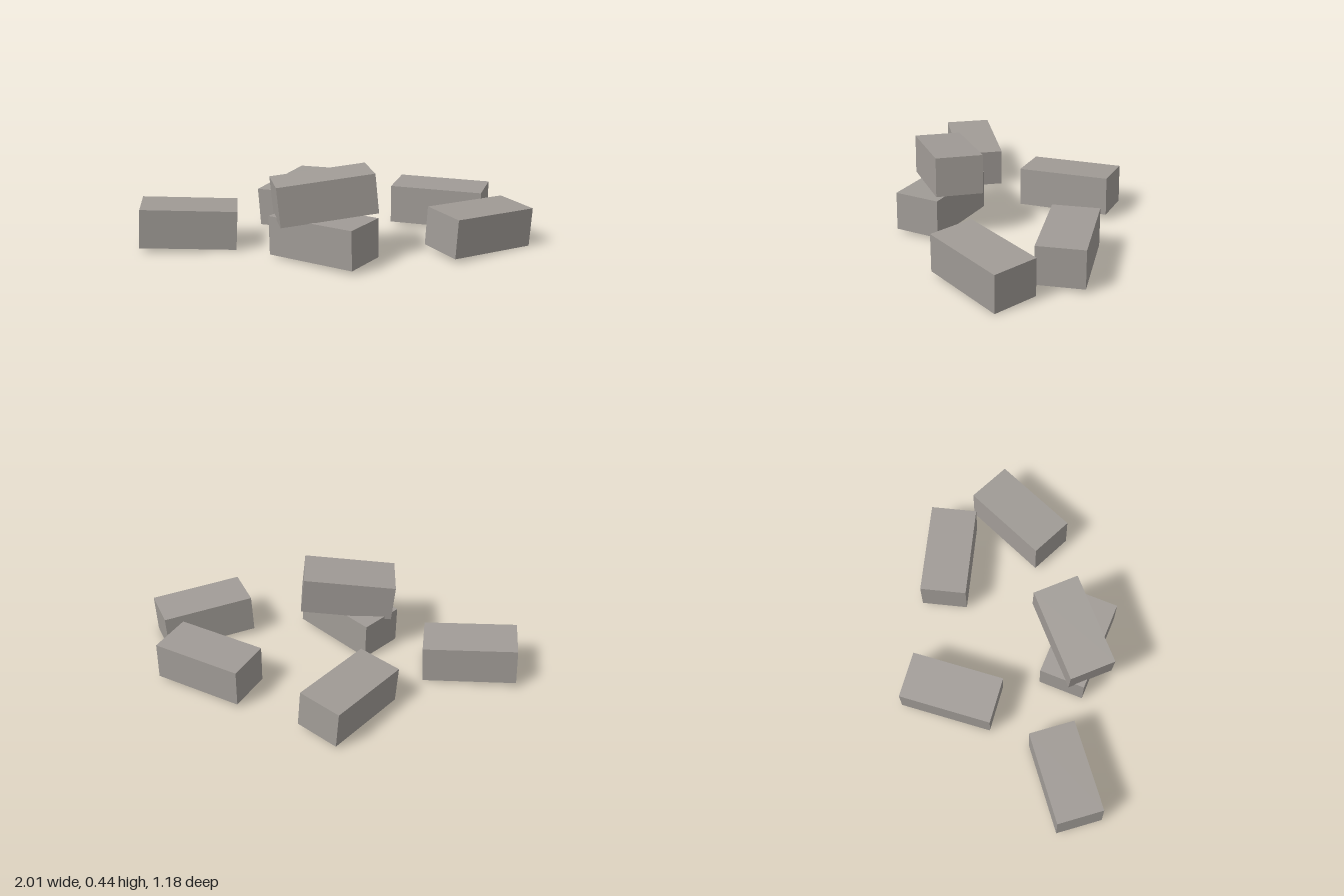
import * as THREE from 'three';

// Scattered loose bricks, one resting on another
export function createModel() {
  const group = new THREE.Group();
  group.name = 'bricks';

  const stone = new THREE.MeshStandardMaterial({ color: 0xa09b96 });
  stone.name = 'grey stone';
  stone.flatShading = true;

  const brickShape = new THREE.BoxGeometry(0.485, 0.2, 0.242);

  // centre, then tilt across the width, heading, tilt along the length
  const bricks = [
    ['leftOuterBrick', [-0.737, 0.117, 0.22], [0, 0.197, -0.05]],
    ['backInnerBrick', [-0.237, 0.117, -0.323], [-0.06, 1.2, 0.03]],
    ['backOuterBrick', [0.53, 0.12, -0.283], [0, -0.193, 0]],
    ['rightOuterBrick', [0.733, 0.117, 0.122], [0.035, 0.691, -0.045]],
    ['stackLowerBrick', [-0.03, 0.116, 0.362], [0, -0.478, 0.02]],
    ['stackUpperBrick', [-0.033, 0.319, 0.323], [-0.03, 0.3, 0.095]],
  ];

  for (const [name, position, [tilt, heading, pitch]] of bricks) {
    const brick = new THREE.Mesh(brickShape, stone);
    brick.name = name;
    brick.position.set(...position);
    brick.rotation.set(tilt, heading, pitch, 'YZX');
    group.add(brick);
  }
  return group;
}
